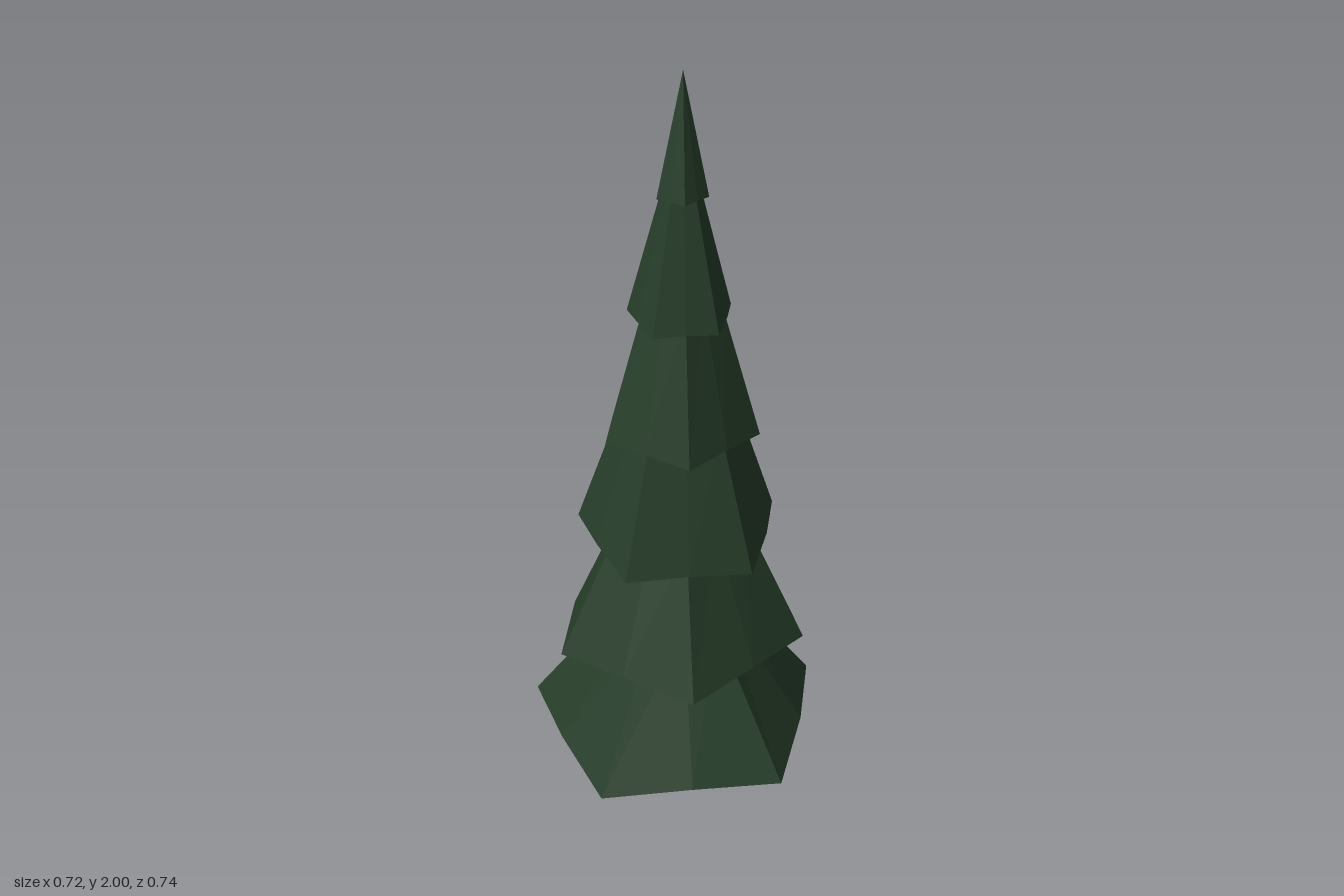
import * as THREE from 'three';

const foliage = new THREE.MeshStandardMaterial({ name: 'foliage green', color: 0x263d29, flatShading: true });
const bark = new THREE.MeshStandardMaterial({ name: 'bark brown', color: 0x44371f, flatShading: true });

const SIDES = 10;

// Ten-sided star ring: even corners are long and low, odd corners short and high
function starRing(cx, cz, y, radius, turn, lift) {
  return Array.from({ length: SIDES }, (_, j) => {
    const angle = turn + (j * 2 * Math.PI) / SIDES;
    const r = j % 2 ? radius * 0.85 : radius;
    return new THREE.Vector3(cx + r * Math.cos(angle), y + (j % 2 ? lift : 0), cz + r * Math.sin(angle));
  });
}

// One skirt of branches: sloping sides plus a hollowed underside
function branchTier(bottom, top, hollow) {
  const corners = [];
  for (let j = 0; j < SIDES; j++) {
    const k = (j + 1) % SIDES;
    corners.push(bottom[j], top[j], bottom[k]);
    if (top[j].distanceTo(top[k]) > 1e-5) corners.push(top[j], top[k], bottom[k]);
    corners.push(hollow, bottom[j], bottom[k]);
  }
  const geometry = new THREE.BufferGeometry().setFromPoints(corners);
  geometry.computeVertexNormals();
  return geometry;
}

export function createModel() {
  const tree = new THREE.Group();
  tree.name = 'pineTree';

  // Flared trunk
  const profile = [[0, 0], [0.078, 0], [0.063, 0.1], [0.054, 0.2], [0.048, 0.32]];
  const trunk = new THREE.Mesh(
    new THREE.LatheGeometry(profile.map(([r, y]) => new THREE.Vector2(r, y)), SIDES), bark);
  trunk.name = 'trunk';
  trunk.position.set(-0.021, 0, 0.01);
  tree.add(trunk);

  // Six tiers, each turned half a step from the one below
  const shoulder = [0.183, 0.186, 0.158, 0.106, 0.048]; // radius 0.3 above each hem
  for (let i = 0; i < 6; i++) {
    const y = 0.21 + i * 0.301;
    const radius = 0.391 - i * 0.066;
    const turn = -0.054 + (i % 2) * (Math.PI / 5);
    const cx = -0.031 + i * 0.0025;
    const cz = 0.005 + i * 0.0008;
    const last = i === 5;
    const rise = last ? 2 - y : 0.36;
    const topRadius = last ? 0 : radius + (shoulder[i] - radius) * (rise / 0.3);
    const bottom = starRing(cx, cz, y, radius, turn, 0.05 * radius);
    const top = starRing(cx + 0.003, cz + 0.001, y + rise, topRadius, turn, 0);
    const hollow = new THREE.Vector3(cx, y + 0.1, cz);
    const tier = new THREE.Mesh(branchTier(bottom, top, hollow), foliage);
    tier.name = last ? 'treeTop' : `branchTier${i + 1}`;
    tree.add(tier);
  }
  return tree;
}
